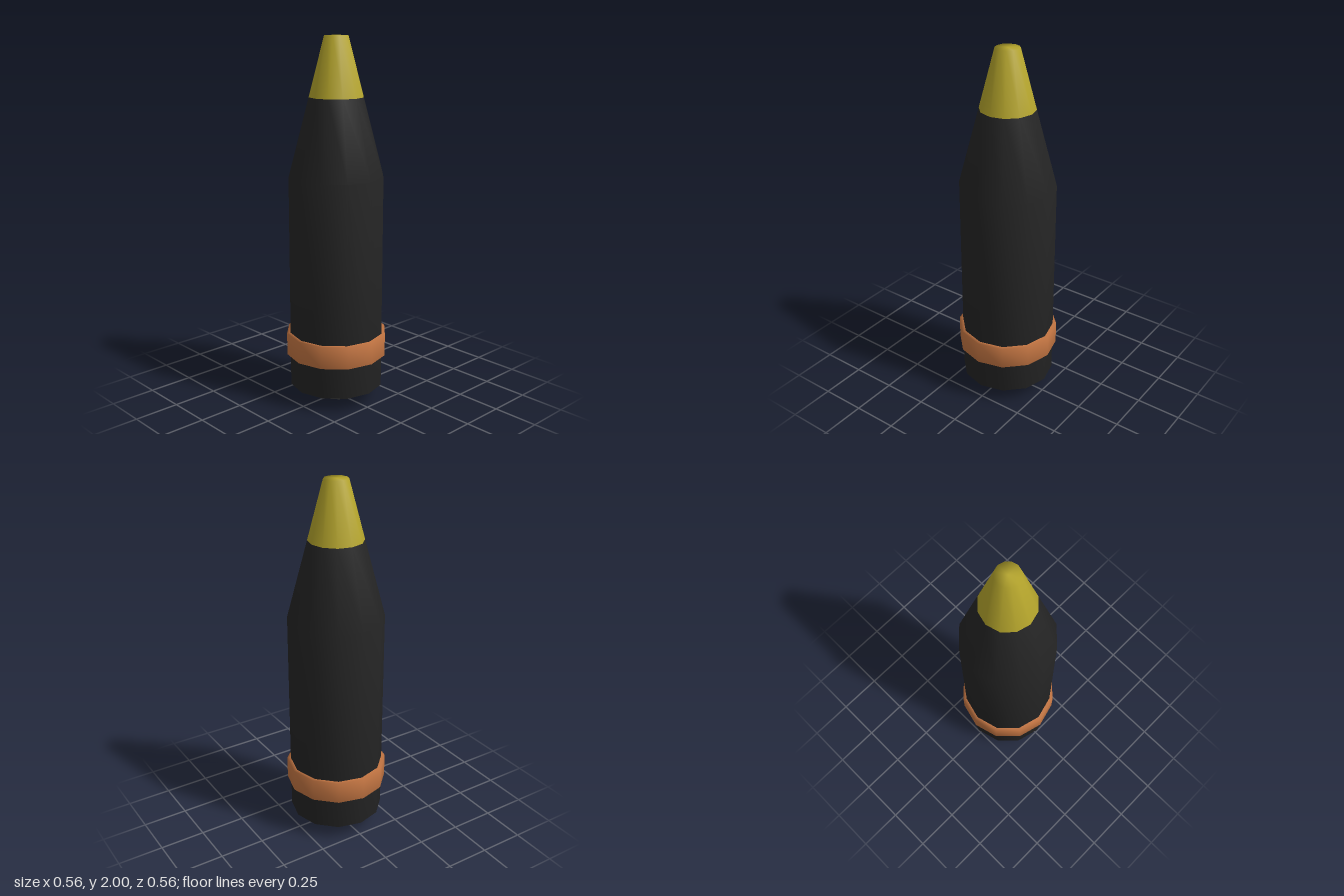
import * as THREE from 'three';

const SIDES = 12;

// Turns a bottom-to-top [radius, height] profile into a smooth 12-sided part
function turned(name, color, profile) {
  const points = profile.map(([r, y]) => new THREE.Vector2(r, y));
  const mesh = new THREE.Mesh(
    new THREE.LatheGeometry(points, SIDES),
    new THREE.MeshStandardMaterial({ color })
  );
  mesh.name = name;
  return mesh;
}

export function createModel() {
  const group = new THREE.Group();
  group.name = 'shell';

  // Primer stub under the base
  group.add(turned('baseStub', 0x555555, [[0, 0], [0.087, 0], [0.087, 0.085]]));

  // Straight casing with its tapering shoulder
  group.add(turned('body', 0x262626, [
    [0, 0.085], [0.26, 0.085], [0.26, 1.265], [0.148, 1.685],
  ]));

  // Copper driving band
  group.add(turned('drivingBand', 0xc87844, [
    [0.25, 0.265], [0.28, 0.265], [0.28, 0.39], [0.25, 0.39],
  ]));

  // Painted nose with a flat end
  group.add(turned('nose', 0xb5a52c, [[0.148, 1.685], [0.065, 2], [0, 2]]));

  return group;
}
